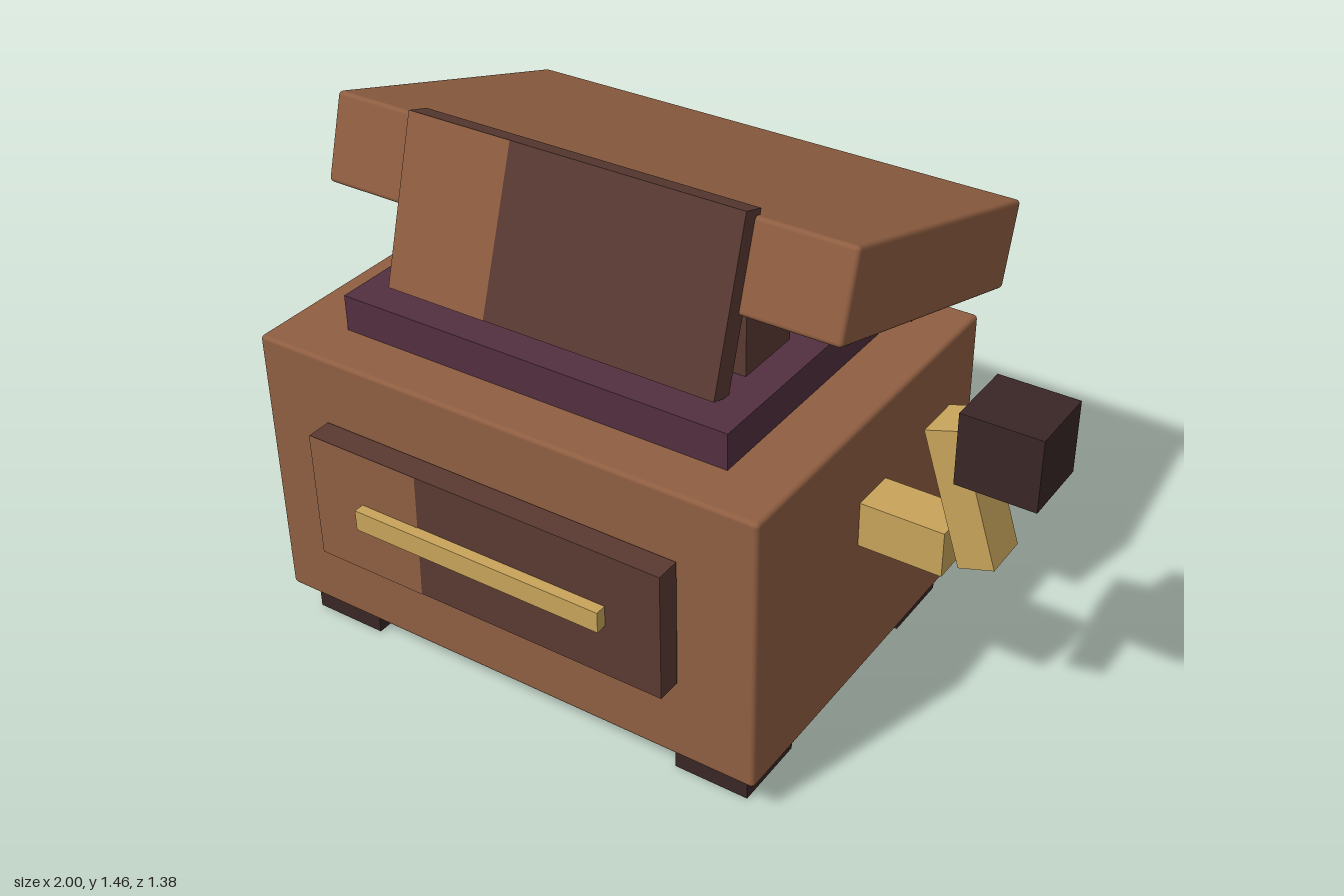
import * as THREE from 'three';
import { RoundedBoxGeometry } from 'three/addons/geometries/RoundedBoxGeometry.js';

const material = (name, color) => {
  const m = new THREE.MeshStandardMaterial({ color });
  m.name = name;
  return m;
};

export function createModel() {
  const model = new THREE.Group();
  model.name = 'crankBox';

  const wood = material('warm wood', 0x8f5e41);
  const darkWood = material('dark wood', 0x5a3a32);
  const purple = material('plum', 0x522f3f);
  const iron = material('dark iron', 0x3a2626);
  const brass = material('brass', 0xc8a45b);

  const MID = -0.23; // the case is centred here; the crank sticks out to +x
  const TILT = -0.295; // lid opening angle

  const add = (name, geometry, mat, x, y, z, parent = model) => {
    const mesh = new THREE.Mesh(geometry, mat);
    mesh.name = name;
    mesh.position.set(x, y, z);
    parent.add(mesh);
    return mesh;
  };
  const box = (name, mat, w, h, d, x, y, z, parent) =>
    add(name, new THREE.BoxGeometry(w, h, d), mat, x, y, z, parent);
  const rounded = (name, mat, w, h, d, x, y, z) =>
    add(name, new RoundedBoxGeometry(w, h, d, 2, 0.012), mat, x, y, z);

  // Panel with a paler strip on the left of its face
  const panel = (name, w, h, d, strip, x, y, z) => {
    const group = new THREE.Group();
    group.name = name;
    group.position.set(x, y, z);
    box(name + 'Board', darkWood, w, h, d, 0, 0, 0, group);
    const shape = new THREE.Shape([
      new THREE.Vector2(-w / 2, -h / 2),
      new THREE.Vector2(-w / 2 + strip - 0.005, -h / 2),
      new THREE.Vector2(-w / 2 + strip + 0.005, h / 2),
      new THREE.Vector2(-w / 2, h / 2),
    ]);
    add(name + 'Strip', new THREE.ShapeGeometry(shape), wood, 0, 0, d / 2 + 0.002, group);
    model.add(group);
    return group;
  };

  // Case and feet
  rounded('case', wood, 1.505, 0.805, 1.1, MID, 0.4975, 0.035);
  for (const side of [-1, 1]) {
    for (const z of [0.427, -0.36]) {
      box('foot', iron, 0.215, 0.1, 0.218, MID + side * 0.598, 0.05, z);
    }
  }

  // Front panel with its bar handle
  panel('frontPanel', 1.075, 0.37, 0.07, 0.34, MID - 0.003, 0.525, 0.625);
  box('frontHandle', brass, 0.755, 0.06, 0.035, MID - 0.003, 0.525, 0.674);

  // Top tray, drum and drum supports
  box('tray', purple, 1.16, 0.105, 0.725, MID, 0.9495, 0.078);
  box('drum', brass, 0.78, 0.2, 0.3, MID, 1.095, 0.105);
  for (const side of [-1, 1]) {
    box('drumSupport', darkWood, 0.1, 0.23, 0.205, MID + side * 0.435, 1.11, 0.1075);
    box('hinge', iron, 0.22, 0.11, 0.155, MID + side * 0.52, 0.965, -0.447);
  }

  // Tilted lid and its front panel
  rounded('lid', wood, 1.535, 0.242, 0.92, MID, 1.181, -0.215).rotation.x = TILT;
  panel('lidPanel', 0.987, 0.463, 0.068, 0.31, MID, 1.228, 0.265).rotation.x = TILT;

  // Crank on the left side
  const crank = new THREE.Group();
  crank.name = 'crank';
  model.add(crank);
  box('crankShaft', brass, 0.245, 0.13, 0.13, 0.633, 0.6, 0.034, crank);
  box('crankArm', brass, 0.1, 0.38, 0.13, 0.787, 0.776, 0.034, crank).rotation.z = 0.31;
  box('crankKnob', iron, 0.215, 0.2, 0.2, 0.89, 0.945, 0.033, crank);

  return model;
}
